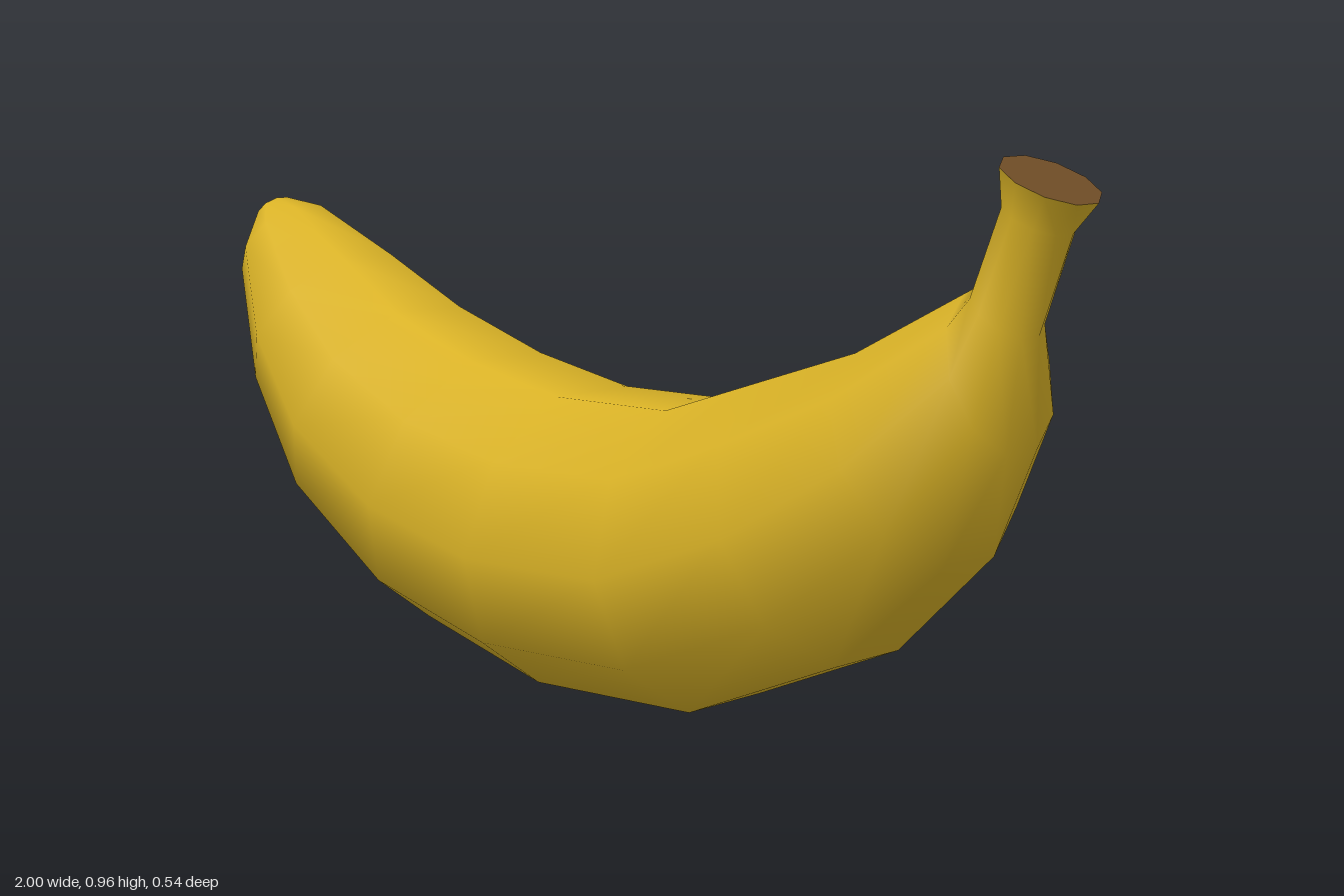
import * as THREE from 'three';

const SIDES = 10;

// Cross-sections from blossom tip to stem:
// [underside x, y, inner-curve x, y, half width, centre z]
const SECTIONS = [
  [-0.992, 0.745, -0.945, 0.797, 0.04, 0.02],
  [-1.0, 0.63, -0.86, 0.785, 0.1, 0.018],
  [-0.88, 0.41, -0.68, 0.70, 0.187, 0.01],
  [-0.70, 0.21, -0.50, 0.615, 0.238, 0.004],
  [-0.41, 0.06, -0.28, 0.55, 0.264, 0],
  [-0.10, 0.0, -0.05, 0.515, 0.268, -0.002],
  [0.28, 0.03, 0.22, 0.525, 0.266, -0.002],
  [0.59, 0.17, 0.42, 0.594, 0.242, -0.003],
  [0.79, 0.36, 0.61, 0.66, 0.19, -0.001],
  [0.885, 0.54, 0.80, 0.765, 0.115, 0.004],
  [0.90, 0.71, 0.815, 0.775, 0.066, 0.011],
  [0.955, 0.86, 0.865, 0.905, 0.063, 0.012],
  [0.995, 0.905, 0.865, 0.965, 0.08, 0.015],
];

// Ten-sided ring with a flat side above and below
function ring([bx, by, tx, ty, halfWidth, cz]) {
  const points = [];
  const stretch = 0.5 / Math.cos(Math.PI / SIDES);
  for (let j = 0; j < SIDES; j++) {
    const a = ((j + 0.5) / SIDES) * Math.PI * 2;
    const k = Math.cos(a) * stretch;
    points.push(new THREE.Vector3(
      (bx + tx) / 2 + (tx - bx) * k,
      (by + ty) / 2 + (ty - by) * k,
      cz + Math.sin(a) * halfWidth));
  }
  return points;
}

function makeGeometry(points, index) {
  const geometry = new THREE.BufferGeometry().setFromPoints(points);
  geometry.setIndex(index);
  geometry.computeVertexNormals();
  return geometry;
}

// Smooth skin joining neighbouring rings
function skinGeometry() {
  const index = [];
  for (let i = 0; i < SECTIONS.length - 1; i++) {
    for (let j = 0; j < SIDES; j++) {
      const n = (j + 1) % SIDES;
      const a = i * SIDES + j, b = i * SIDES + n;
      const c = a + SIDES, d = b + SIDES;
      index.push(a, b, c, b, d, c);
    }
  }
  return makeGeometry(SECTIONS.flatMap(ring), index);
}

// Flat disc closing one end
function endGeometry(section, facesStem) {
  const points = ring(section);
  const index = [];
  for (let j = 1; j < SIDES - 1; j++) {
    index.push(0, ...(facesStem ? [j, j + 1] : [j + 1, j]));
  }
  return makeGeometry(points, index);
}

export function createModel() {
  const yellow = new THREE.MeshStandardMaterial({ color: 0xd9b226 });
  yellow.name = 'yellow peel';
  const brown = new THREE.MeshStandardMaterial({ color: 0x6d4c26 });
  brown.name = 'brown ends';

  const group = new THREE.Group();
  group.name = 'banana';
  const add = (name, geometry, material) => {
    const mesh = new THREE.Mesh(geometry, material);
    mesh.name = name;
    group.add(mesh);
  };
  add('peel', skinGeometry(), yellow);
  add('blossomTip', endGeometry(SECTIONS[0], false), brown);
  add('stemEnd', endGeometry(SECTIONS[SECTIONS.length - 1], true), brown);
  return group;
}
